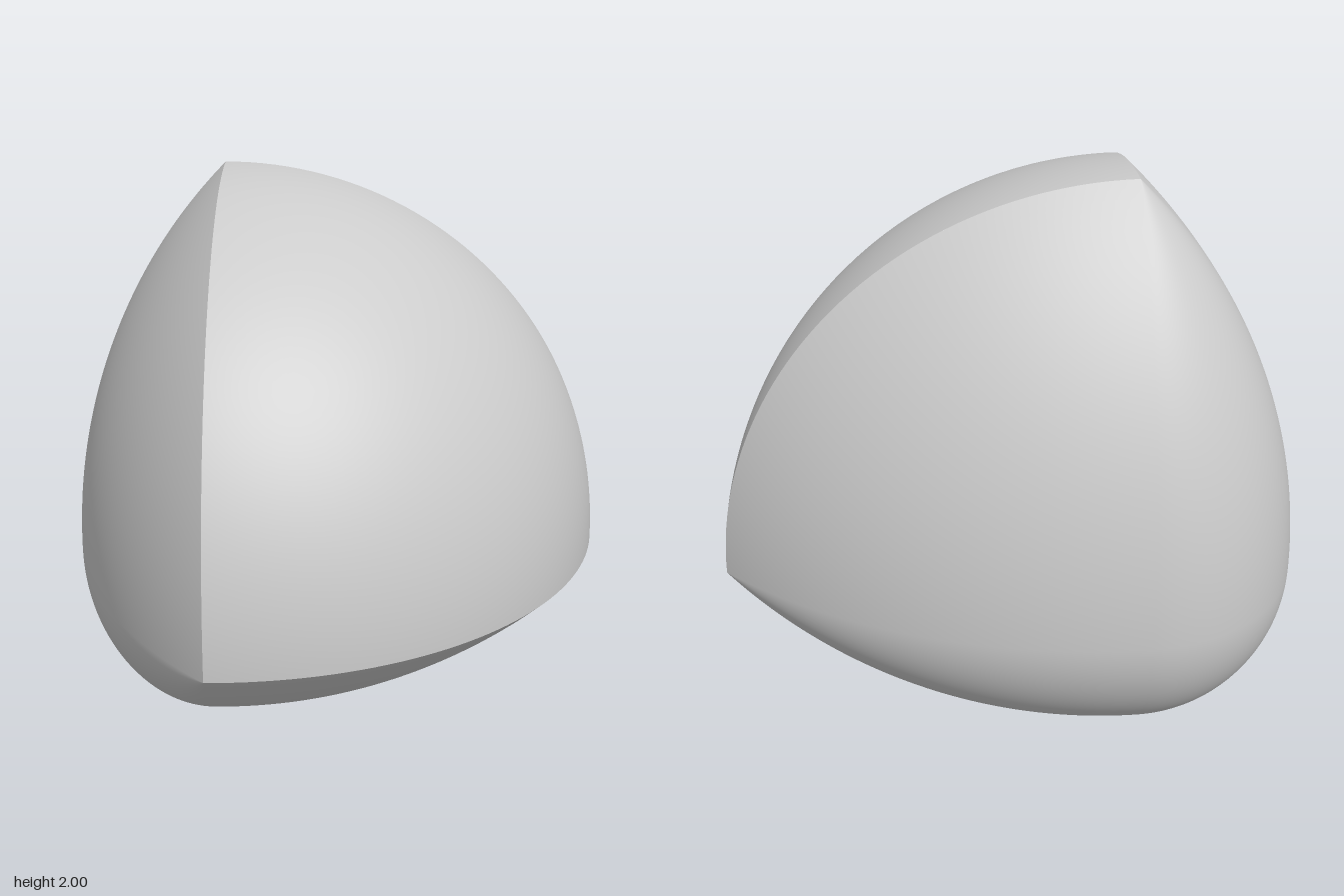
import * as THREE from 'three';

// Solid of constant width 2 built round a cube corner: every patch is a piece
// of the unit sphere of normals, with each point moved to where that normal touches.
const WIDTH = 2;
const R = Math.SQRT2;      // radius of the large octant
const r = WIDTH - R;       // radius of the small opposite octant
const N = 48;
const PI = Math.PI;

const material = new THREE.MeshStandardMaterial({ color: 0xcccccc });

function patch(name, phiStart, thetaStart, thetaLength, rule) {
  const geo = new THREE.SphereGeometry(1, N, N, phiStart, PI / 2, thetaStart, thetaLength);
  const pos = geo.attributes.position;
  const u = new THREE.Vector3();
  for (let i = 0; i < pos.count; i++) {
    rule(u.fromBufferAttribute(pos, i));
    pos.setXYZ(i, u.x, u.y, u.z);
  }
  const mesh = new THREE.Mesh(geo, material);
  mesh.name = name;
  return mesh;
}

export function createModel() {
  const model = new THREE.Group();
  model.name = 'constantWidthSolid';

  const body = new THREE.Group();
  body.name = 'body';
  body.position.set(1 - R, r, 1 - R);
  model.add(body);

  // large spherical face and the small rounded corner opposite it
  body.add(patch('largeSphericalFace', PI / 2, 0, PI / 2, u => u.multiplyScalar(R)));
  body.add(patch('roundedCorner', 1.5 * PI, PI / 2, PI / 2, u => u.multiplyScalar(r)));

  // three equal sides, one about each axis
  const diagonal = new THREE.Vector3(1, 1, 1).normalize();
  for (let i = 0; i < 3; i++) {
    const side = new THREE.Group();
    side.name = 'side' + (i + 1);
    side.quaternion.setFromAxisAngle(diagonal, i * 2 * PI / 3);

    // spherical face centred on the opposite vertex
    side.add(patch('sphericalSideFace', PI / 2, 0.75 * PI, PI / 4, u => {
      u.multiplyScalar(WIDTH);
      u.y += R;
    }));

    // toroidal flank running from the rounded corner up to the vertex
    side.add(patch('toroidalFlank', 1.5 * PI, PI / 4, PI / 4, u => {
      const s = Math.hypot(u.x, u.z);
      const k = WIDTH - R / s;
      u.set(u.x * k, u.y * WIDTH, u.z * k);
    }));
    body.add(side);
  }
  return model;
}
